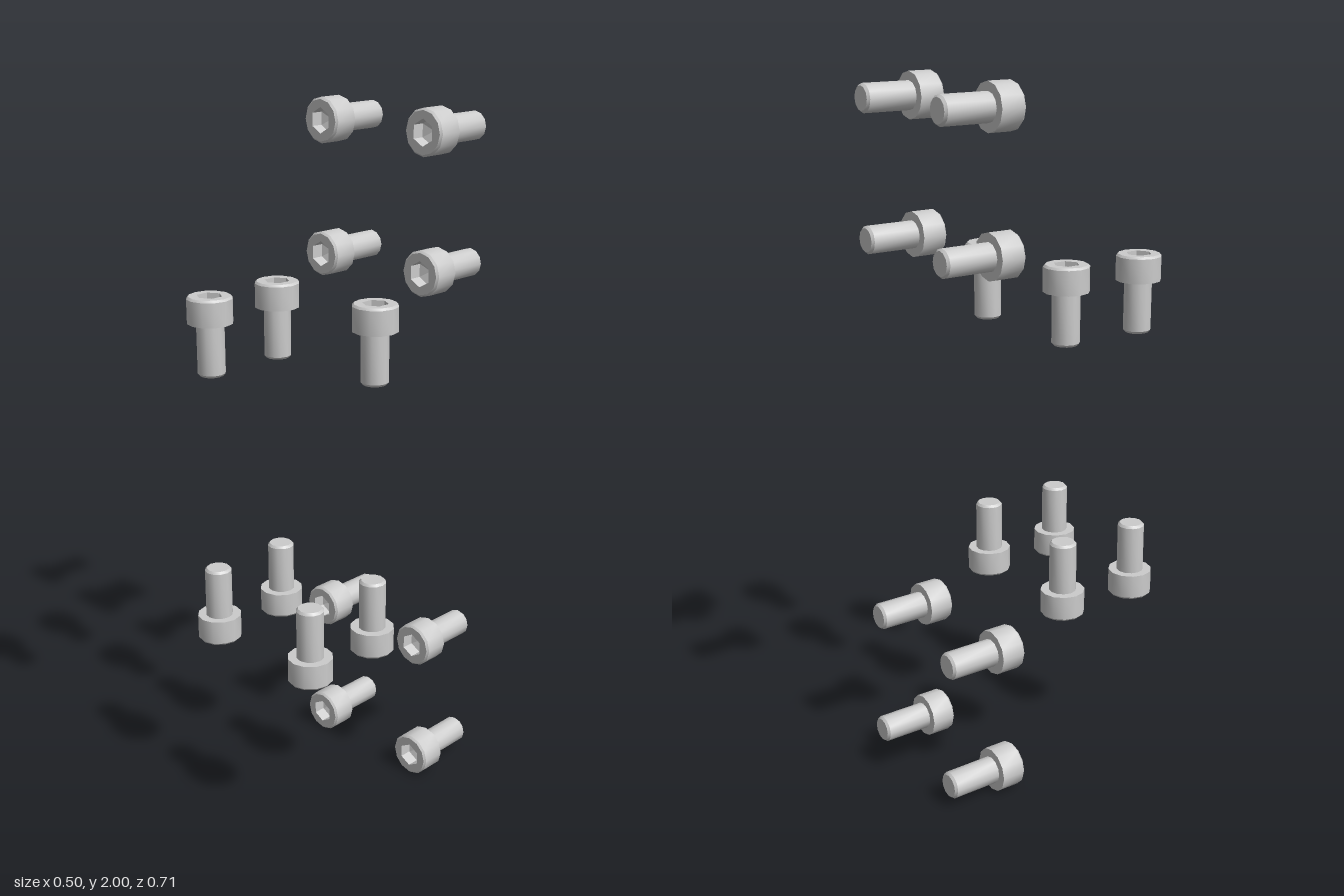
import * as THREE from 'three';
import { toCreasedNormals } from 'three/addons/utils/BufferGeometryUtils.js';

const SIDES = 12;
const HEAD_R = 0.0635, RIM_R = 0.058, HEAD_H = 0.074;
const SHANK_R = 0.039, LENGTH = 0.221, SOCKET_R = 0.036;

const lathe = (points, sides, crease) => toCreasedNormals(
  new THREE.LatheGeometry(points.map(([r, y]) => new THREE.Vector2(r, y)), sides), crease);

// Points of a regular polygon with one corner on the vertical axis
const polygon = (radius, sides) => Array.from({ length: sides }, (_, i) => {
  const a = (i / sides) * Math.PI * 2;
  return new THREE.Vector2(Math.sin(a) * radius, Math.cos(a) * radius);
});

export function createModel() {
  const model = new THREE.Group();
  model.name = 'screwSet';
  const material = new THREE.MeshStandardMaterial({ color: 0xcccccc });

  // Shank with a chamfered tip
  const shank = lathe([
    [0, -LENGTH], [SHANK_R - 0.006, -LENGTH], [SHANK_R, -LENGTH + 0.007], [SHANK_R, -HEAD_H],
  ], SIDES, 0.6);

  // Cylindrical head: underside, wall and softened upper edge
  const head = lathe([
    [SHANK_R, -HEAD_H], [HEAD_R, -HEAD_H], [HEAD_R, -0.006], [RIM_R, 0],
  ], SIDES, 0.6);

  // Flat head face with a hexagonal opening
  const ring = new THREE.Shape(polygon(RIM_R, SIDES));
  ring.holes.push(new THREE.Path(polygon(SOCKET_R, 6)));
  const face = new THREE.ShapeGeometry(ring).rotateX(-Math.PI / 2);

  // Hexagonal socket, walls facing inwards, with a shallow pointed floor
  const socket = lathe([[SOCKET_R, 0], [SOCKET_R, -0.036], [0, -0.046]], 6, 0.1);

  const parts = { shank, head, headFace: face, hexSocket: socket };

  // Each screw is placed by the centre of its head face
  function addScrew(name, x, y, z, tilt) {
    const screw = new THREE.Group();
    screw.name = name;
    for (const [part, geometry] of Object.entries(parts)) {
      const mesh = new THREE.Mesh(geometry, material);
      mesh.name = part;
      screw.add(mesh);
    }
    screw.position.set(x, y, z);
    screw.rotation.x = tilt;
    model.add(screw);
  }

  for (const side of [-1, 1]) {
    const x = side * 0.187;
    const label = side > 0 ? 'Left' : 'Right';

    // Horizontal screws at the back, heads facing forward
    [0.0635, 0.441, 1.563, 1.9365].forEach((y, i) =>
      addScrew(`backScrew${label}${i + 1}`, x, y, -0.134, Math.PI / 2));

    for (const z of [0.041, 0.29]) {
      const row = z > 0.1 ? 'Front' : 'Middle';
      // Lower screws point upwards
      addScrew(`lowerScrew${row}${label}`, x, 0.496, z, Math.PI);
      // Upper screws point downwards; the front left place is empty
      if (side < 0 || row === 'Middle') addScrew(`upperScrew${row}${label}`, x, 1.515, z, 0);
    }
  }
  return model;
}
